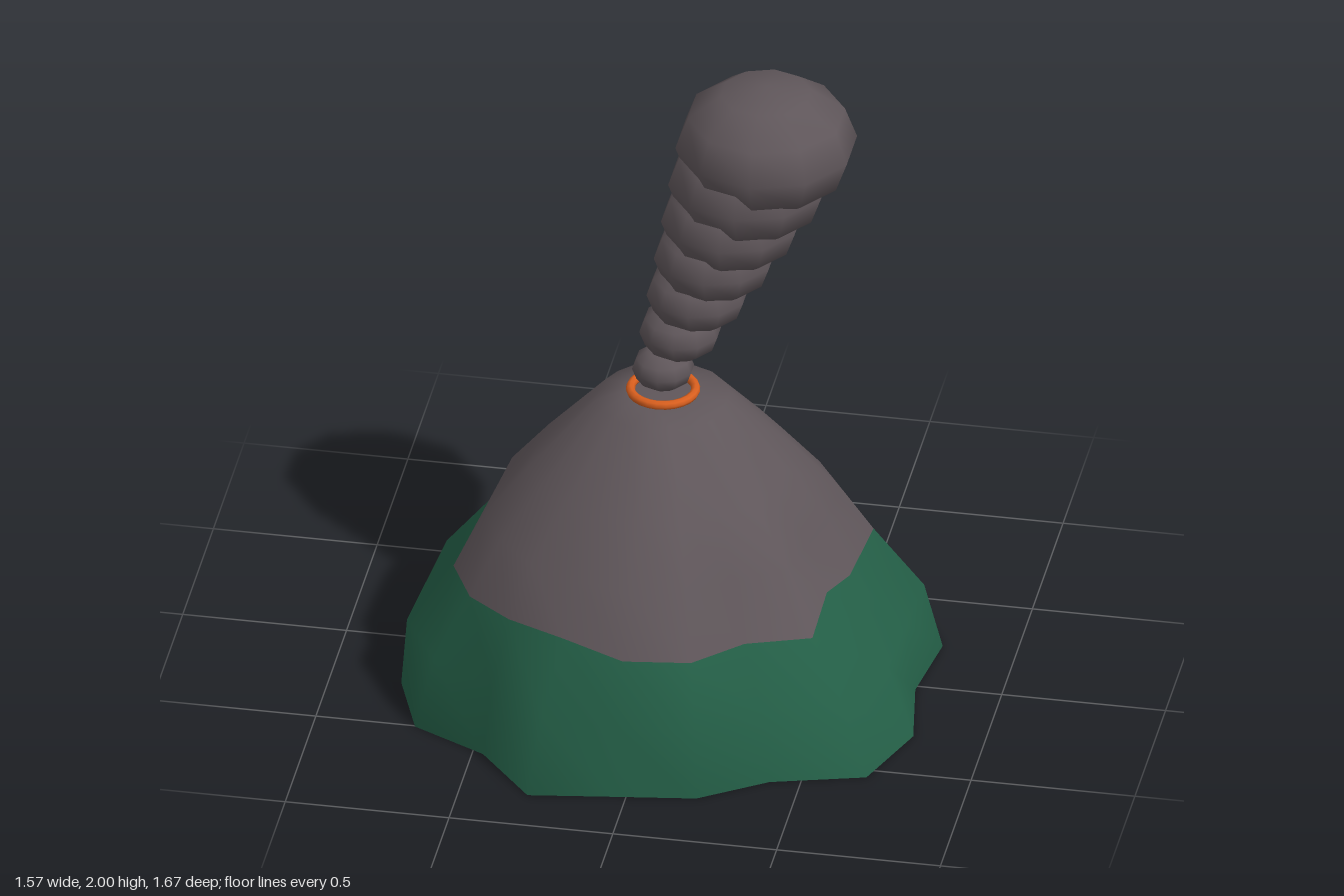
import * as THREE from 'three';

const CENTRE = { x: -0.03, z: 0.02 };
const SIDES = 20;

// Radii of the uneven slope, every 18 degrees from the back round through +x
const BASE = [.86, .78, .816, .838, .846, .77, .855, .888, .744, .773, .77, .851, .744, .824, .792, .75, .778, .812, .814, .86];
const LOW = [.67, .70, .73, .75, .79, .74, .77, .78, .69, .74, .74, .76, .71, .76, .775, .72, .74, .73, .72, .70];
const TREELINE = [.62, .593, .62, .60, .637, .57, .56, .652, .57, .647, .66, .626, .638, .642, .634, .57, .591, .586, .594, .585];
const TREELINE_Y = [.42, .41, .405, .405, .43, .38, .42, .385, .39, .40, .41, .43, .43, .41, .40, .40, .41, .40, .42, .41];

// Upper rings grow rounder towards the summit
const upper = (r, keep) => TREELINE.map((t) => r * (1 + keep * (t / 0.61 - 1)));

function mountainGeometry() {
  const flat = (y) => Array(SIDES).fill(y);
  const rings = [
    [BASE, flat(0)],
    [LOW, flat(0.22)],
    [TREELINE, TREELINE_Y],
    [upper(0.525, 0.6), flat(0.58)],
    [upper(0.395, 0.5), flat(0.735)],
    [upper(0.2, 0.5), flat(0.948)],
    [flat(0.1), flat(0.964)],
  ];
  const positions = [];
  const index = [];
  for (const [radii, heights] of rings) {
    for (let i = 0; i < SIDES; i++) {
      const a = (i / SIDES) * Math.PI * 2;
      positions.push(CENTRE.x + Math.sin(a) * radii[i], heights[i], CENTRE.z - Math.cos(a) * radii[i]);
    }
  }
  for (let r = 0; r < rings.length - 1; r++) {
    for (let i = 0; i < SIDES; i++) {
      const j = (i + 1) % SIDES;
      const a = r * SIDES + i, b = r * SIDES + j, c = a + SIDES, d = b + SIDES;
      index.push(a, c, d, a, d, b);
    }
  }
  // Crater floor
  const top = (rings.length - 1) * SIDES;
  const middle = positions.length / 3;
  positions.push(CENTRE.x, 0.962, CENTRE.z);
  for (let i = 0; i < SIDES; i++) index.push(top + i, middle, top + ((i + 1) % SIDES));

  const geometry = new THREE.BufferGeometry();
  geometry.setAttribute('position', new THREE.Float32BufferAttribute(positions, 3));
  geometry.setIndex(index);
  // Forest on the two lowest bands, bare rock above
  const forest = 2 * SIDES * 6;
  geometry.addGroup(0, forest, 0);
  geometry.addGroup(forest, index.length - forest, 1);
  geometry.computeVertexNormals();
  return geometry;
}

export function createModel() {
  const model = new THREE.Group();
  model.name = 'volcano';

  const material = (name, color, side = THREE.FrontSide) => {
    const m = new THREE.MeshStandardMaterial({ color, side });
    m.name = name;
    return m;
  };
  const green = material('forestGreen', 0x245f47, THREE.DoubleSide);
  const grey = material('rockGrey', 0x5f565a, THREE.DoubleSide);
  const orange = material('lavaOrange', 0xd95f1e);

  // Hollow mountain, open underneath
  const mountain = new THREE.Mesh(mountainGeometry(), [green, grey]);
  mountain.name = 'mountain';
  model.add(mountain);

  // Glowing crater rim
  const rim = new THREE.Mesh(new THREE.TorusGeometry(0.098, 0.014, 8, 24), orange);
  rim.name = 'lavaRim';
  rim.rotation.x = Math.PI / 2;
  rim.position.set(CENTRE.x, 0.974, CENTRE.z);
  model.add(rim);

  // Leaning plume of widening, flattened puffs
  const plume = new THREE.Group();
  plume.name = 'smokePlume';
  const puffGeometry = new THREE.SphereGeometry(1, 10, 6).rotateY(Math.PI / 2);
  for (let i = 0; i < 7; i++) {
    const t = i / 6;
    const radius = 0.094 + 0.181 * t;
    const puff = new THREE.Mesh(puffGeometry, grey);
    puff.name = `smokePuff${i + 1}`;
    puff.scale.set(radius, radius * 0.725, radius);
    puff.position.set(CENTRE.x + 0.292 * t, 1.05 + 0.75 * t, CENTRE.z - 0.122 * t);
    plume.add(puff);
  }
  model.add(plume);

  return model;
}
